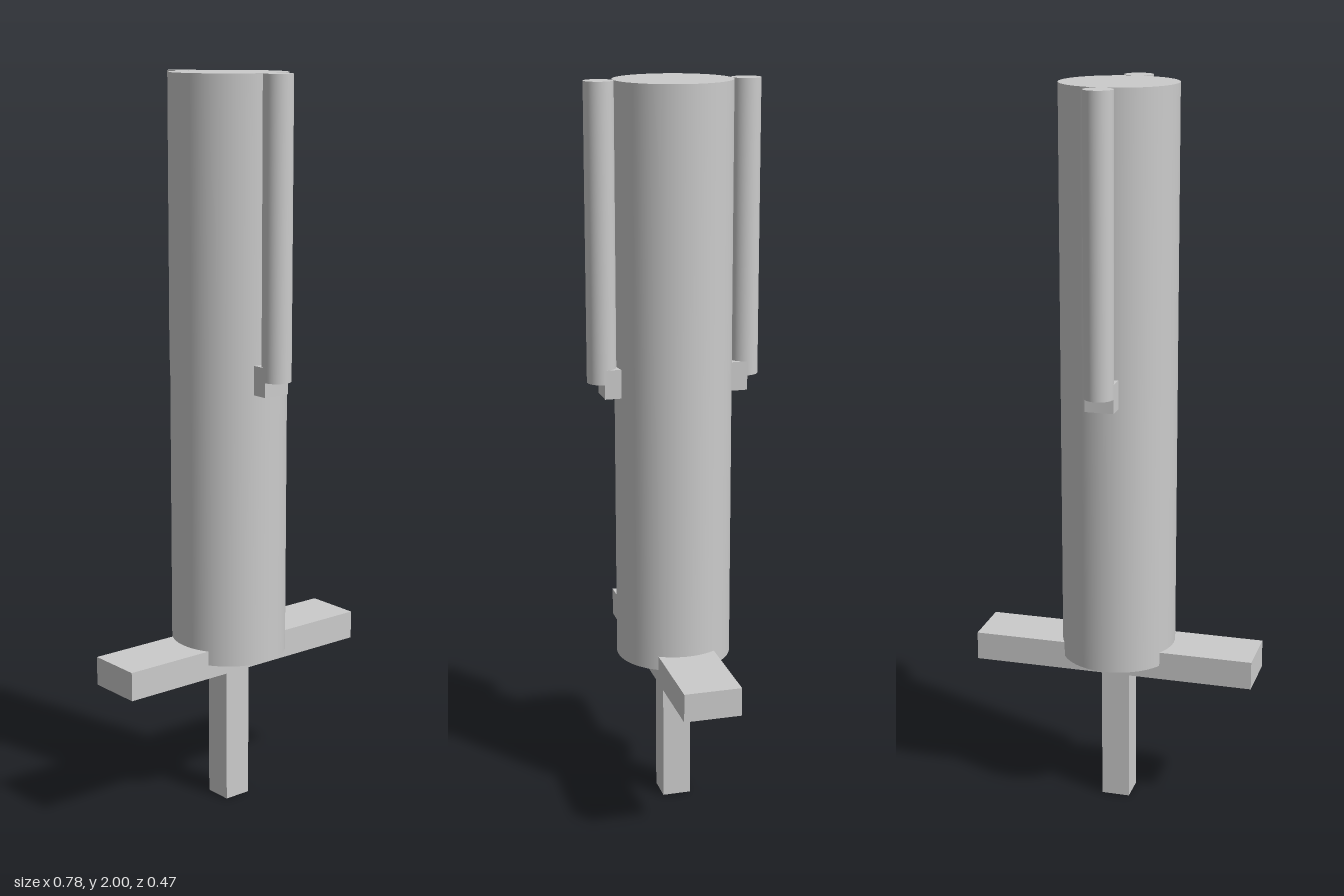
import * as THREE from 'three';

export function createModel() {
  const group = new THREE.Group();
  const material = new THREE.MeshStandardMaterial({ color: 0xcccccc });
  const u = 2 / 25.5; // base module, about 0.078

  const add = (name, geometry, y, z = 0) => {
    const mesh = new THREE.Mesh(geometry, material);
    mesh.name = name;
    mesh.position.set(0, y, z);
    group.add(mesh);
  };

  // Square stem, running up into the crossbar
  add('stem', new THREE.BoxGeometry(u, 5 * u, u), 2.5 * u);

  // Flat crossbar
  add('crossbar', new THREE.BoxGeometry(10 * u, u, 2 * u), 5.5 * u);

  // Main cylinder, sunk halfway into the crossbar
  add('body', new THREE.CylinderGeometry(2 * u, 2 * u, 20 * u, 64), 15.5 * u);

  // Side rods on small square brackets, front and back
  for (const [side, s] of [['front', 1], ['back', -1]]) {
    add(side + 'Rod', new THREE.CylinderGeometry(u / 2, u / 2, 10 * u, 48), 20.5 * u, s * 2.5 * u);
    add(side + 'Bracket', new THREE.BoxGeometry(u, u, u), 15.5 * u, s * 2 * u);
  }

  return group;
}
